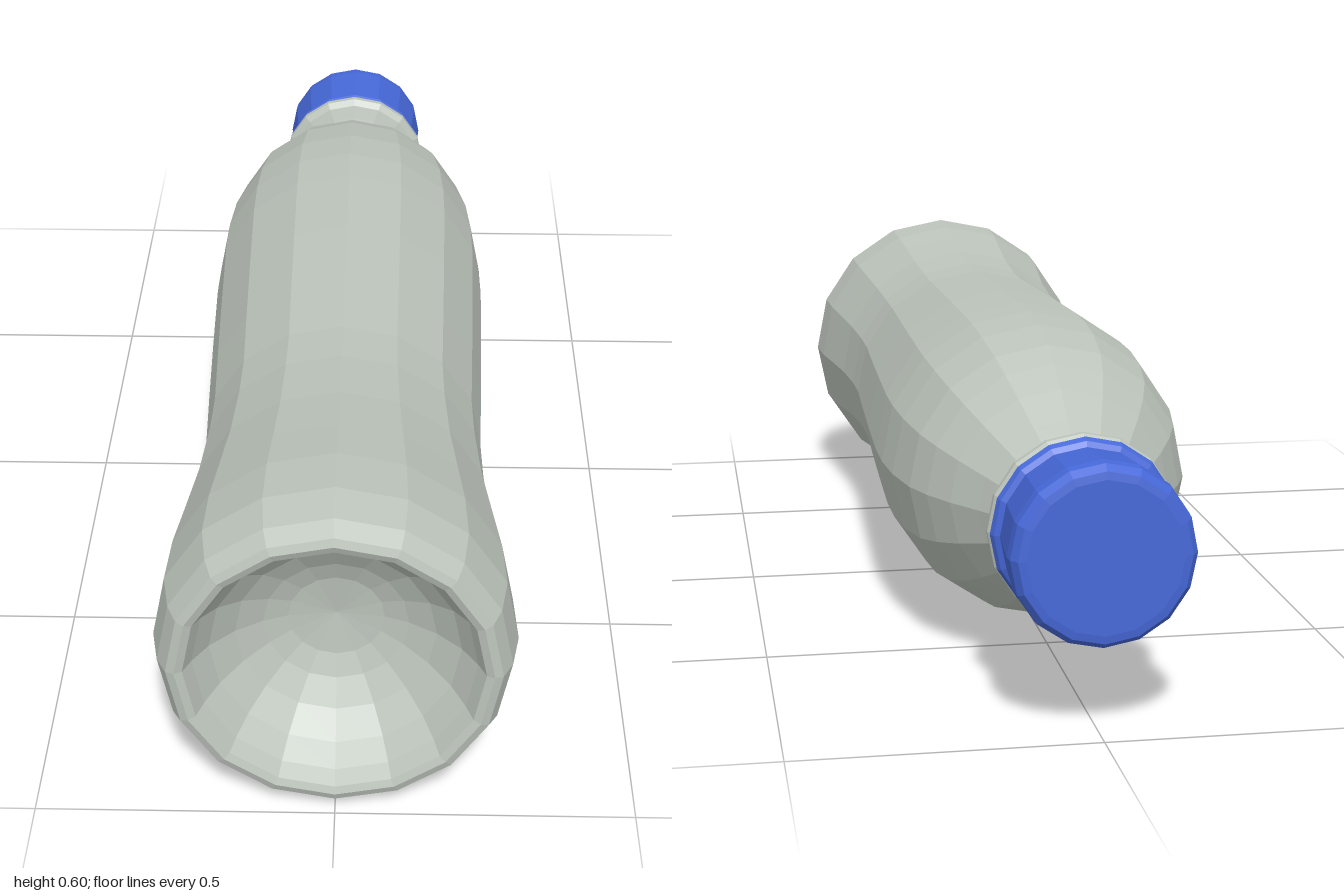
import * as THREE from 'three';

const SIDES = 16;

// Turn a [radius, z] profile, listed from the base to the lid, around the z axis.
function turned(name, profile, material) {
  const points = profile.map(([r, z]) => new THREE.Vector2(r, -z));
  const geometry = new THREE.LatheGeometry(points, SIDES);
  geometry.rotateX(-Math.PI / 2);
  const mesh = new THREE.Mesh(geometry, material);
  mesh.name = name;
  return mesh;
}

export function createModel() {
  const plastic = new THREE.MeshStandardMaterial({ color: 0xbcc4bb, flatShading: true });
  plastic.name = 'pale grey plastic';
  const blue = new THREE.MeshStandardMaterial({ color: 0x4668d8, flatShading: true });
  blue.name = 'blue plastic';

  const bottle = new THREE.Group();
  bottle.name = 'bottle';

  // Hollow dome pushed into the base
  bottle.add(turned('baseRecess', [
    [0, 0.84], [0.08, 0.85], [0.12, 0.865], [0.165, 0.892],
    [0.205, 0.93], [0.23, 0.968], [0.243, 0.995],
  ], plastic));

  // Waisted body, shoulder and neck
  bottle.add(turned('body', [
    [0.243, 0.995], [0.256, 1], [0.27, 0.995], [0.286, 0.965], [0.298, 0.9], [0.293, 0.8],
    [0.28, 0.7], [0.265, 0.58], [0.256, 0.45], [0.254, 0.35], [0.26, 0.2],
    [0.267, 0], [0.273, -0.2], [0.272, -0.3], [0.264, -0.4], [0.245, -0.5],
    [0.222, -0.56], [0.19, -0.62], [0.15, -0.68], [0.122, -0.725], [0.113, -0.76],
  ], plastic));

  // Carrying ring around the neck
  bottle.add(turned('neckRing', [
    [0.113, -0.76], [0.118, -0.785], [0.145, -0.793], [0.157, -0.803],
    [0.157, -0.815], [0.148, -0.825], [0.1, -0.83],
  ], plastic));

  // Seal band under the lid
  bottle.add(turned('sealBand', [
    [0.12, -0.82], [0.15, -0.822], [0.155, -0.83], [0.15, -0.84], [0.141, -0.845],
  ], blue));

  // Screw lid, slightly wider towards its top
  bottle.add(turned('lid', [
    [0.141, -0.845], [0.15, -0.965], [0.148, -0.985], [0.138, -0.998], [0.125, -1], [0, -1],
  ], blue));

  // Rest the lying bottle on the ground
  bottle.position.y = 0.298;
  const model = new THREE.Group();
  model.name = 'lyingBottle';
  model.add(bottle);
  return model;
}
